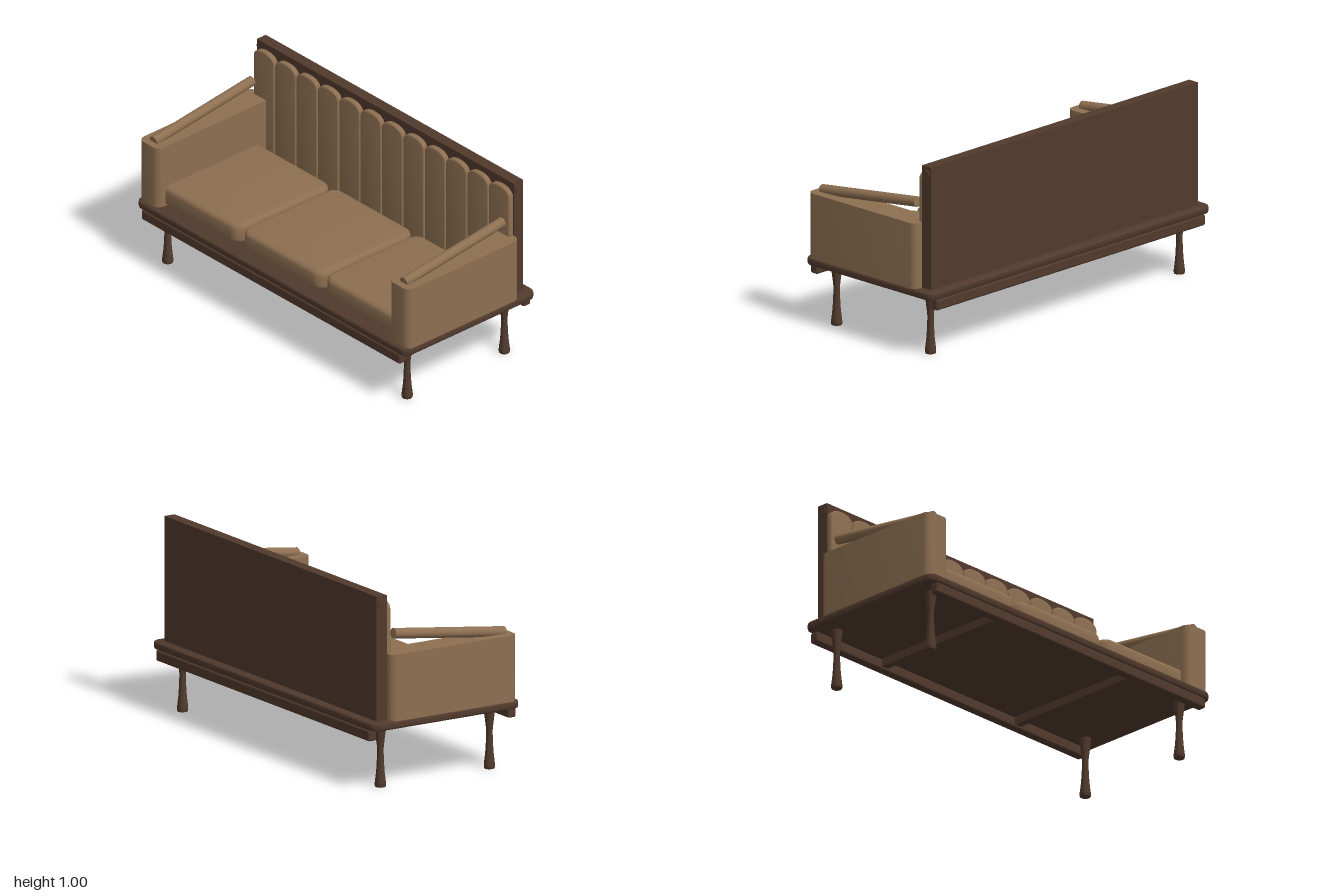
import * as THREE from 'three';
import { toCreasedNormals } from 'three/addons/utils/BufferGeometryUtils.js';
import { RoundedBoxGeometry } from 'three/addons/geometries/RoundedBoxGeometry.js';

const wood = new THREE.MeshStandardMaterial({ color: 0x513a2d });
wood.name = 'dark wood';
const fabric = new THREE.MeshStandardMaterial({ color: 0x8d6f51 });
fabric.name = 'tan upholstery';

function roundedRect(w, d, r) {
  const s = new THREE.Shape(), x = w / 2, y = d / 2;
  s.absarc(x - r, y - r, r, 0, Math.PI / 2);
  s.absarc(-x + r, y - r, r, Math.PI / 2, Math.PI);
  s.absarc(-x + r, -y + r, r, Math.PI, Math.PI * 1.5);
  s.absarc(x - r, -y + r, r, Math.PI * 1.5, Math.PI * 2);
  s.closePath();
  return s;
}

// Horizontal slab with rounded plan corners and an optional rounded rim; its base is at y = 0
function slab(w, h, d, r, bevel = 0) {
  const g = new THREE.ExtrudeGeometry(roundedRect(w - 2 * bevel, d - 2 * bevel, r - bevel), {
    depth: h - 2 * bevel, curveSegments: 8,
    bevelEnabled: bevel > 0, bevelSize: bevel, bevelThickness: bevel, bevelSegments: 4,
  });
  g.translate(0, 0, bevel);
  g.rotateX(-Math.PI / 2);
  return toCreasedNormals(g, 0.6);
}

export function createModel() {
  const model = new THREE.Group();
  model.name = 'sofa';
  const add = (name, geometry, material, x, y, z) => {
    const mesh = new THREE.Mesh(geometry, material);
    mesh.name = name;
    mesh.position.set(x, y, z);
    model.add(mesh);
    return mesh;
  };

  // Platform with rails and cross slats beneath
  add('platform', slab(2, 0.04, 0.88, 0.045, 0.01), wood, 0, 0.316, 0);
  const rail = new RoundedBoxGeometry(1.91, 0.056, 0.048, 2, 0.01);
  add('frontRail', rail, wood, 0, 0.288, 0.416);
  add('backRail', rail, wood, 0, 0.288, -0.416);
  for (const x of [-0.475, 0.475]) {
    add('crossSlat', new THREE.BoxGeometry(0.04, 0.043, 0.8), wood, x, 0.2955, 0);
  }

  // Turned legs
  const profile = [[0, 0], [0.026, 0], [0.028, 0.006], [0.028, 0.02], [0.025, 0.045], [0.021, 0.08],
    [0.018, 0.13], [0.016, 0.19], [0.018, 0.215], [0.023, 0.255], [0.028, 0.295], [0.03, 0.318], [0, 0.318]];
  const leg = toCreasedNormals(new THREE.LatheGeometry(profile.map(p => new THREE.Vector2(...p)), 20), 0.7);
  for (const x of [-0.885, 0.885]) {
    for (const z of [-0.325, 0.325]) add('leg', leg, wood, x, 0, z);
  }

  // Back panel with a slightly bowed top rail
  add('backPanel', new THREE.BoxGeometry(1.9, 0.641, 0.06), wood, 0, 0.6755, -0.36);
  const bow = new THREE.QuadraticBezierCurve3(
    new THREE.Vector3(-0.958, 0.954, 0), new THREE.Vector3(0, 0.998, 0), new THREE.Vector3(0.958, 0.954, 0));
  add('topRail', new THREE.TubeGeometry(bow, 32, 0.024, 16), wood, 0, 0, -0.36);
  for (const side of [-1, 1]) {
    const cap = add('topRailCap', new THREE.CircleGeometry(0.024, 16), wood, side * 0.958, 0.954, -0.36);
    cap.rotation.y = side * Math.PI / 2;
  }

  // Vertical channels with arched tops
  const pitch = 0.158, hw = 0.07, bevel = 0.006;
  const arch = new THREE.Shape();
  arch.moveTo(-hw, 0.362);
  arch.lineTo(hw, 0.362);
  arch.lineTo(hw, 0.915);
  arch.bezierCurveTo(hw, 0.945, 0.04, 0.958, 0, 0.958);
  arch.bezierCurveTo(-0.04, 0.958, -hw, 0.945, -hw, 0.915);
  arch.closePath();
  const channel = toCreasedNormals(new THREE.ExtrudeGeometry(arch, {
    depth: 0.02, curveSegments: 6, bevelSize: bevel, bevelThickness: bevel, bevelSegments: 3,
  }), 0.6);
  for (let i = 0; i < 12; i++) {
    add('backChannel', channel, fabric, (i - 5.5) * pitch, 0, -0.328);
  }

  // Arms with a sloping bolster on each
  const arm = slab(0.148, 0.341, 0.75, 0.04);
  const bolster = new THREE.CylinderGeometry(0.0265, 0.0265, 0.665, 24);
  bolster.rotateX(Math.PI / 2);
  for (const side of [-1, 1]) {
    add('arm', arm, fabric, side * 0.924, 0.355, 0.045);
    add('armBolster', bolster, fabric, side * 0.925, 0.744, 0.054).rotation.x = 0.13;
  }

  // Seat cushions
  const cushion = slab(0.598, 0.11, 0.635, 0.06, 0.028);
  for (const i of [-1, 0, 1]) add('seatCushion', cushion, fabric, i * 0.61, 0.355, 0.055);

  return model;
}
